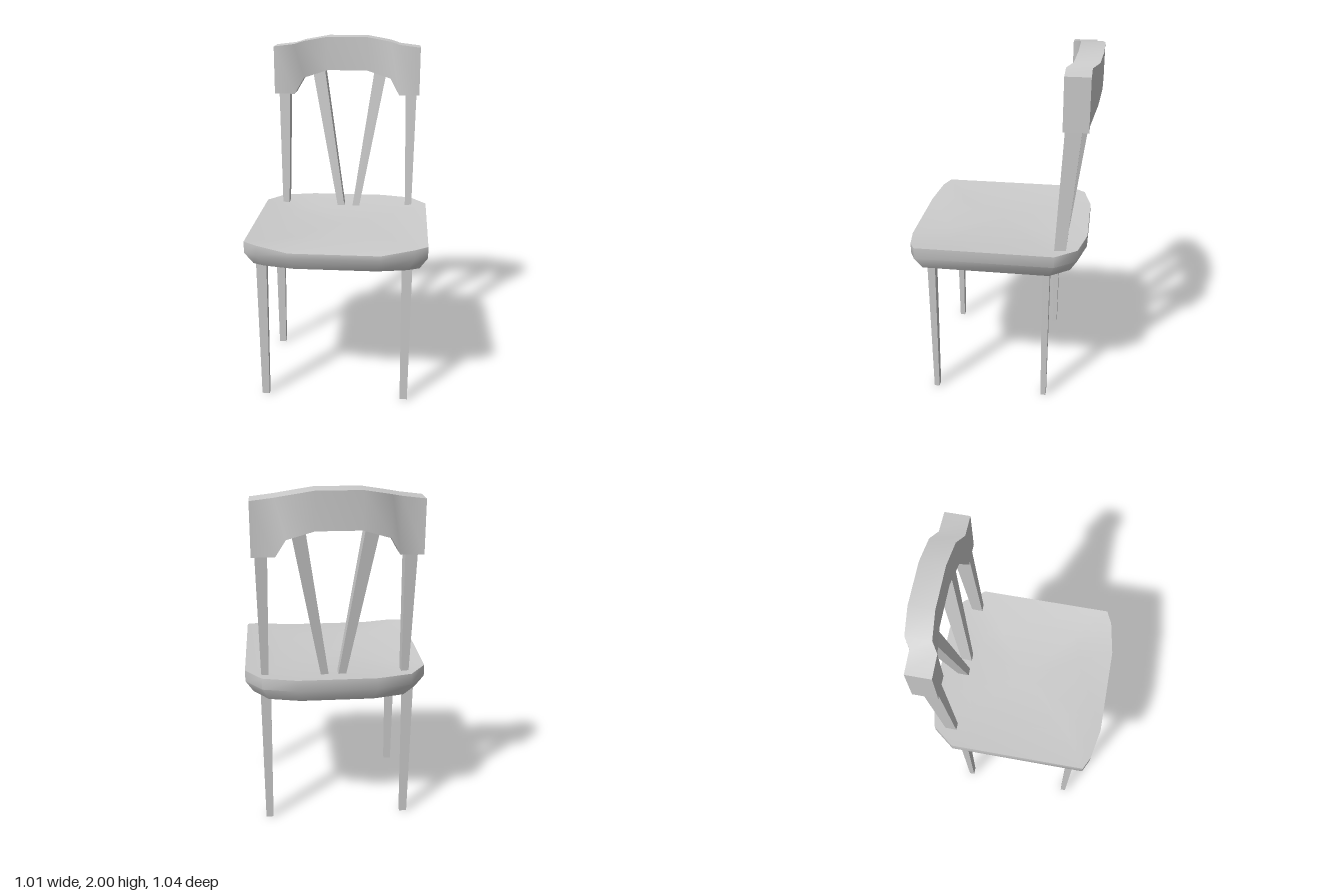
import * as THREE from 'three';
import { toCreasedNormals } from 'three/addons/utils/BufferGeometryUtils.js';

const material = new THREE.MeshStandardMaterial({ color: 0xcccccc });

// Skin a stack of rings (each counter-clockwise seen from the far end) and cap both ends.
function loft(name, rings, crease = 0.7) {
  const n = rings[0].length;
  const positions = rings.flat(2);
  const index = [];
  for (let i = 0; i < rings.length - 1; i++) {
    for (let j = 0; j < n; j++) {
      const k = (j + 1) % n;
      const a = i * n + j, b = i * n + k, c = a + n, d = b + n;
      index.push(a, b, d, a, d, c);
    }
  }
  [0, rings.length - 1].forEach((r, end) => {
    const centre = positions.length / 3;
    for (let axis = 0; axis < 3; axis++) {
      positions.push(rings[r].reduce((sum, p) => sum + p[axis], 0) / n);
    }
    for (let j = 0; j < n; j++) {
      const a = r * n + j, b = r * n + (j + 1) % n;
      if (end) index.push(a, b, centre);
      else index.push(b, a, centre);
    }
  });
  const geometry = new THREE.BufferGeometry();
  geometry.setAttribute('position', new THREE.Float32BufferAttribute(positions, 3));
  geometry.setIndex(index);
  const mesh = new THREE.Mesh(toCreasedNormals(geometry, crease), material);
  mesh.name = name;
  return mesh;
}

// Rectangle at height y, centred on x and running from zBack to zFront.
function rect(x, y, width, zBack, zFront) {
  const h = width / 2;
  return [[x - h, y, zFront], [x + h, y, zFront], [x + h, y, zBack], [x - h, y, zBack]];
}

function createSeat() {
  // Right half of the outline from front to back: x, z, rim height
  const half = [
    [0.25, 0.52, 0.945], [0.43, 0.485, 0.972], [0.503, 0.45, 0.98],
    [0.503, -0.32, 0.98], [0.41, -0.44, 0.98], [0.22, -0.485, 0.98],
  ];
  const outline = [...half, ...half.map(([x, z, y]) => [-x, z, y]).reverse()];
  const level = (scale, height) =>
    outline.map(([x, z, y]) => [x * scale, height ?? y, 0.017 + (z - 0.017) * scale]);
  // Bevelled underside, upright rim, gently dished top
  return loft('seat', [level(0.915, 0.84), level(1, 0.915), level(1), level(0.6, 0.955)]);
}

function createTopRail() {
  // Half stations: x, bottom, top, front z
  const half = [
    [0.443, 1.66, 1.945, -0.34], [0.32, 1.66, 1.96, -0.34],
    [0.265, 1.755, 1.975, -0.375], [0.12, 1.8, 2, -0.39],
  ];
  const stations = [
    ...half.map(([x, ...rest]) => [-x, ...rest]),
    ...[...half].reverse(),
  ];
  const depth = 0.134;
  return loft('topRail', stations.map(([x, bottom, top, z]) => [
    [x, bottom, z], [x, bottom, z - depth], [x, top, z - depth], [x, top, z],
  ]));
}

export function createModel() {
  const chair = new THREE.Group();
  chair.name = 'chair';
  chair.add(createSeat(), createTopRail());

  for (const side of [-1, 1]) {
    const label = side > 0 ? 'left' : 'right';

    // Legs, tapering towards the floor
    const legX = side * 0.406 - 0.014;
    for (const [name, z] of [['FrontLeg', 0.376], ['BackLeg', -0.271]]) {
      chair.add(loft(label + name, [
        rect(legX, 0, 0.043, z - 0.015, z + 0.015),
        rect(legX, 0.86, 0.059, z - 0.022, z + 0.022),
      ]));
    }

    // Outer back posts, widening and leaning back into the rail
    chair.add(loft(label + 'BackPost', [
      rect(side * 0.388 + 0.005, 0.95, 0.04, -0.375, -0.312),
      rect(side * 0.388 + 0.005, 1.68, 0.066, -0.441, -0.352),
    ]));

    // Inner slats, spreading in a V
    chair.add(loft(label + 'Slat', [
      rect(side * 0.047 + 0.015, 0.955, 0.043, -0.375, -0.312),
      rect(side * 0.193 + 0.015, 1.82, 0.076, -0.49, -0.395),
    ]));
  }
  return chair;
}
